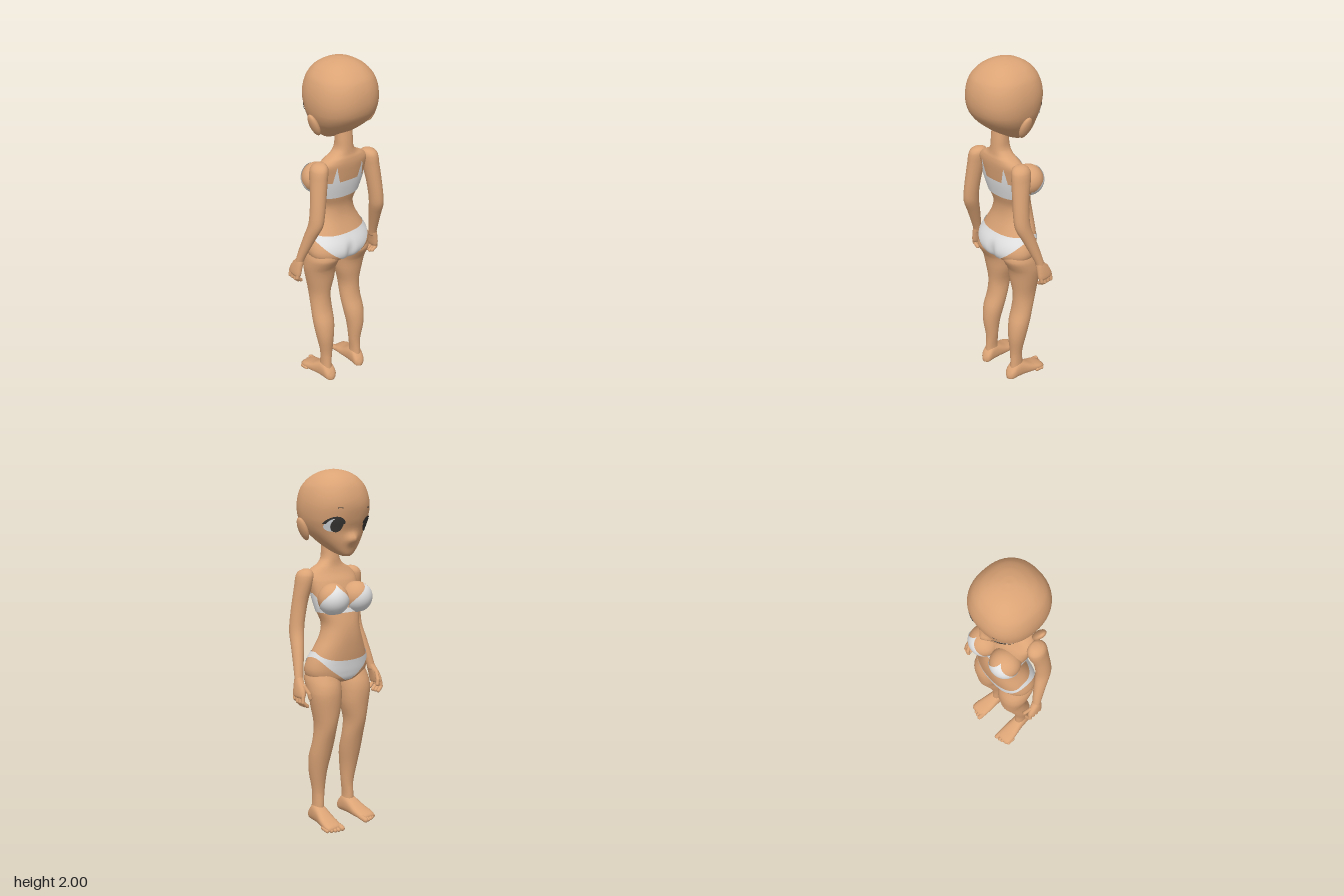
import * as THREE from 'three';

const mat = (name, color, side = THREE.FrontSide) => {
  const m = new THREE.MeshStandardMaterial({ color, side });
  m.name = name;
  return m;
};

// Cross-section: height, half width, back z, front z, centre x
const S = (y, rx, zb, zf, cx = 0) => [y, cx, (zb + zf) / 2, rx, (zb - zf) / 2];

// Smooth interpolation of the cross-sections at t
function sample(secs, t) {
  let i = 0;
  while (i < secs.length - 2 && t > secs[i + 1][0]) i++;
  const a = secs[i], b = secs[i + 1], p = secs[Math.max(i - 1, 0)], q = secs[Math.min(i + 2, secs.length - 1)];
  const h = b[0] - a[0], u = Math.min(1, Math.max(0, (t - a[0]) / h)), u2 = u * u, u3 = u2 * u;
  return a.map((v, k) => {
    const ma = (b[k] - p[k]) / (b[0] - p[0]) * h, mb = (q[k] - a[k]) / (q[0] - a[0]) * h;
    return (2 * u3 - 3 * u2 + 1) * v + (u3 - 2 * u2 + u) * ma + (3 * u2 - 2 * u3) * b[k] + (u3 - u2) * mb;
  });
}

// Surface function (angle, t, offset) -> point; angle 0 is +x, PI/2 is the back (+z)
const surface = (secs, n = 2, axis = 'y', mod = null) => (a, t, off = 0) => {
  const [, cx, c, rx, r] = sample(secs, t);
  const pw = (v) => Math.sign(v) * Math.abs(v) ** (2 / n);
  const x = cx + (Math.max(rx, 0.001) + off) * pw(Math.cos(a));
  const w = c + (Math.max(r, 0.001) + off) * pw(Math.sin(a));
  const p = axis === 'y' ? [x, t, w] : [x, w, -t];
  if (mod) mod(p);
  return p;
};

function buildGeo(pos, idx) {
  const g = new THREE.BufferGeometry();
  g.setAttribute('position', new THREE.Float32BufferAttribute(pos, 3));
  g.setIndex(idx);
  g.computeVertexNormals();
  return g;
}

// Closed, capped body through the cross-sections
function loft(secs, surf, seg = 28, sub = 3) {
  const ts = [], pos = [], idx = [];
  for (let i = 0; i < secs.length - 1; i++)
    for (let k = 0; k < sub; k++) ts.push(secs[i][0] + (secs[i + 1][0] - secs[i][0]) * k / sub);
  ts.push(secs[secs.length - 1][0]);
  ts.forEach((t, i) => {
    for (let j = 0; j < seg; j++) {
      pos.push(...surf(j / seg * Math.PI * 2, t));
      if (i === ts.length - 1) continue;
      const a = i * seg + j, b = i * seg + (j + 1) % seg;
      idx.push(a, a + seg, b, b, a + seg, b + seg);
    }
  });
  const last = (ts.length - 1) * seg, c = pos.length / 3;
  for (const r of [0, last]) {
    const m = [0, 1, 2].map((k) => (pos[r * 3 + k] + pos[(r + seg / 2) * 3 + k]) / 2);
    pos.push(...m);
  }
  for (let j = 0; j < seg; j++) {
    const k = (j + 1) % seg;
    idx.push(c, j, k, c + 1, last + k, last + j);
  }
  return buildGeo(pos, idx);
}

// Thin cloth lying on a surface between two edge curves
function patch(surf, a0, a1, lo, hi, n = 64, m = 8, off = 0.004) {
  const pos = [], idx = [];
  for (let j = 0; j <= n; j++) {
    const a = a0 + (a1 - a0) * j / n;
    for (let i = 0; i <= m; i++) {
      pos.push(...surf(a, lo(a) + (hi(a) - lo(a)) * i / m, off));
      if (i === m || j === n) continue;
      const p = j * (m + 1) + i, q = p + m + 1;
      idx.push(p, p + 1, q, q, p + 1, q + 1);
    }
  }
  return buildGeo(pos, idx);
}

export function createModel() {
  const group = new THREE.Group();
  group.name = 'figure';
  const skin = mat('skin', 0xdca476);
  const cloth = mat('cloth', 0xe4e4e4, THREE.DoubleSide);
  const dark = mat('eyeDark', 0x3a3836, THREE.DoubleSide);
  const white = mat('eyeWhite', 0xdfe3e6, THREE.DoubleSide);
  const add = (name, geo, m) => {
    const mesh = new THREE.Mesh(geo, m);
    mesh.name = name;
    group.add(mesh);
    return mesh;
  };
  const PI = Math.PI;

  // Head with a small nose bump
  const headSecs = [S(1.54, .02, -.085, -.125), S(1.555, .05, -.04, -.135), S(1.59, .09, .03, -.145), S(1.63, .125, .09, -.152),
    S(1.68, .158, .15, -.158), S(1.74, .18, .19, -.178), S(1.82, .186, .2, -.19), S(1.9, .167, .18, -.17),
    S(1.95, .13, .138, -.135), S(1.98, .085, .09, -.09), S(1.995, .04, .045, -.045), S(2, .005, .005, -.005)];
  const nose = (p) => {
    if (p[2] < -.08) p[2] -= .032 * Math.exp(-((p[0] / .032) ** 2) - ((p[1] - 1.632) / .028) ** 2);
  };
  add('head', loft(headSecs, surface(headSecs, 2.3, 'y', nose), 48, 4), skin);

  // Face details follow the front of the head
  const faceZ = (x, y) => {
    const [, , cz, rx, rz] = sample(headSecs, y);
    return cz - rz * Math.max(0, 1 - (Math.abs(x) / rx) ** 2.3) ** (1 / 2.3);
  };
  const faceShape = (geo, cx, cy, rx, ry, off) => {
    const p = geo.attributes.position;
    for (let i = 0; i < p.count; i++) {
      const x = cx + p.getX(i) * rx, y = cy + p.getY(i) * ry;
      p.setXYZ(i, x, y, faceZ(x, y) - off);
    }
    geo.setIndex(Array.from(geo.index.array).reverse());
    geo.computeVertexNormals();
    return geo;
  };

  // Neck, torso and pelvis
  const torsoSecs = [S(.83, .05, .0, -.05), S(.84, .12, .05, -.09), S(.86, .17, .085, -.12), S(.9, .195, .102, -.133),
    S(.95, .191, .095, -.14), S(1.02, .163, .065, -.148), S(1.1, .125, .038, -.152), S(1.17, .11, .035, -.145),
    S(1.24, .13, .055, -.125), S(1.32, .146, .075, -.1), S(1.4, .156, .088, -.068), S(1.44, .152, .092, -.04),
    S(1.47, .12, .09, -.025), S(1.49, .08, .085, -.02), S(1.52, .053, .082, -.017), S(1.57, .048, .078, -.01), S(1.64, .048, .07, -.01)];
  const cleft = (p) => {
    if (p[2] > 0) p[2] -= .016 * Math.exp(-((p[0] / .022) ** 2) - ((p[1] - .9) / .05) ** 2);
  };
  const torso = surface(torsoSecs, 2.3, 'y', cleft);
  add('torso', loft(torsoSecs, torso, 48, 4), skin);

  // Briefs: narrow at the hips, pointed at front and back
  const low = (a) => {
    const c = Math.abs(Math.cos(a));
    return Math.sin(a) > 0 ? .848 + .145 * Math.max(0, c - .15) / .85 : .855 + .138 * Math.max(0, c - .08) / .92;
  };
  const high = (a) => 1.022 - (Math.sin(a) > 0 ? .012 : .05) * Math.abs(Math.sin(a));
  add('briefs', patch(torso, 0, 2 * PI, low, high, 96, 14), cloth);

  // Chest band with pointed back straps
  add('chestBand', patch(torso, 0, 2 * PI, () => 1.235, (a) => 1.34 - .08 * Math.min(1, Math.max(0, -1.5 * Math.sin(a)))), cloth);
  for (const c of [1.08, PI - 1.08])
    add('backStrap', patch(torso, c - .16, c + .16, () => 1.33, (a) => 1.335 + .1 * (1 - Math.abs(a - c) / .16), 12), cloth);

  for (const s of [1, -1]) {
    const side = s > 0 ? 'left' : 'right';
    const V = (x, y, z) => new THREE.Vector3(x * s, y, z);
    const mirrored = (secs) => secs.map(([t, x, ...r]) => [t, x * s, ...r]);
    const body = (name, secs, n, axis, seg) => {
      const m = mirrored(secs);
      return add(side + name, loft(m, surface(m, n, axis), seg), skin);
    };
    const digit = (name, r, ...pts) => pts.slice(1).forEach((q, i) => {
      const p = pts[i], d = q.clone().sub(p);
      const mesh = add(side + name, new THREE.CapsuleGeometry(r, d.length(), 4, 10), skin);
      mesh.position.copy(p).addScaledVector(d, .5);
      mesh.quaternion.setFromUnitVectors(new THREE.Vector3(0, 1, 0), d.normalize());
    });

    // Eye, lash, brow and ear
    add(side + 'EyeWhite', faceShape(new THREE.RingGeometry(0, 1, 28, 4), s * .112, 1.708, .037, .034, .003), white);
    add(side + 'Iris', faceShape(new THREE.RingGeometry(0, 1, 28, 4), s * .098, 1.71, .029, .039, .005), dark);
    add(side + 'Lash', faceShape(new THREE.RingGeometry(.85, 1.12, 28, 2, .1, PI - .2), s * .108, 1.712, .043, .037, .006), dark);
    add(side + 'Brow', faceShape(new THREE.RingGeometry(.94, 1.05, 12, 1, PI / 2 - .35, .7), s * .095, 1.765, .04, .035, .003), dark);
    const ear = add(side + 'Ear', new THREE.SphereGeometry(1, 20, 14), skin);
    ear.scale.set(.02, .067, .034);
    ear.position.copy(V(.188, 1.685, .03));
    ear.rotation.z = -.42 * s;

    // Breast and cup
    const r = .085, cy = 1.312, cx = .083 * s, cz = -.097;
    const breast = add(side + 'Breast', new THREE.SphereGeometry(r, 32, 20), skin);
    breast.position.set(cx, cy, cz);
    const ball = (a, y, off) => {
      const R = r + off, h = (y - cy) / r, q = R * Math.sqrt(Math.max(0, 1 - h * h));
      return [cx + q * Math.cos(a), cy + R * h, cz + q * Math.sin(a)];
    };
    const a0 = 1.5 * PI + .3 * s;
    add(side + 'Cup', patch(ball, a0 - 1.8, a0 + 1.8, () => cy - r, (a) => Math.max(1.27, 1.388 - .075 * Math.abs(a - a0)), 48, 12), cloth);

    // Arm
    body('Arm', [S(.86, .022, .0, -.055, .266), S(.89, .024, .005, -.045, .262), S(.95, .027, .03, -.032, .25),
      S(1.05, .034, .075, -.005, .228), S(1.12, .038, .108, .015, .213), S(1.18, .039, .114, .02, .205),
      S(1.29, .042, .108, .012, .19), S(1.38, .045, .102, -.01, .177), S(1.43, .046, .098, -.015, .17),
      S(1.455, .037, .085, -.002, .165), S(1.468, .018, .06, .02, .16)], 2, 'y', 20);

    // Hand with four curled fingers and a thumb
    body('Palm', [S(.785, .014, -.005, -.085, .28), S(.8, .019, .002, -.096, .28), S(.84, .021, .004, -.082, .274),
      S(.88, .022, .004, -.052, .265), S(.9, .02, .0, -.04, .26)], 2.3, 'y', 20);
    for (let i = 0; i < 4; i++) {
      const z = -.012 - i * .024, d = i === 0 ? .012 : 0;
      digit('Finger', .0105, V(.283, .8, z), V(.287, .765 + d, z - .004), V(.262, .742 + d, z - .008));
    }
    digit('Thumb', .011, V(.265, .85, -.07), V(.252, .81, -.098), V(.246, .785, -.1));

    // Leg
    body('Leg', [S(.07, .032, .052, -.035, .112), S(.12, .029, .048, -.035, .112), S(.2, .035, .046, -.032, .109),
      S(.31, .05, .058, -.05, .114), S(.41, .062, .05, -.075, .112), S(.5, .062, .022, -.1, .108), S(.6, .06, .015, -.13, .107),
      S(.7, .082, .028, -.141, .103), S(.78, .093, .042, -.145, .106), S(.83, .095, .068, -.138, .105),
      S(.87, .092, .085, -.122, .103), S(.92, .075, .07, -.1, .1)], 2.1, 'y', 28);

    // Foot: sections run from heel to toes (depth, x, height, half width, half height)
    body('Foot', [[-.076, .11, .03, .012, .014], [-.06, .11, .042, .033, .034], [-.02, .113, .062, .039, .056],
      [.03, .116, .055, .043, .049], [.09, .122, .037, .051, .032], [.14, .126, .027, .053, .022], [.172, .126, .02, .045, .014]], 2.4, 'z', 24);
    for (let i = 0; i < 5; i++) {
      const w = i === 0 ? .016 : .0115, x = .088 + i * .02 + (i ? .004 : 0), z = -.182 + i * i * .0018;
      digit('Toe', w, V(x, w + .008, z + .04), V(x + .001, w + .002, z));
    }
  }
  return group;
}
